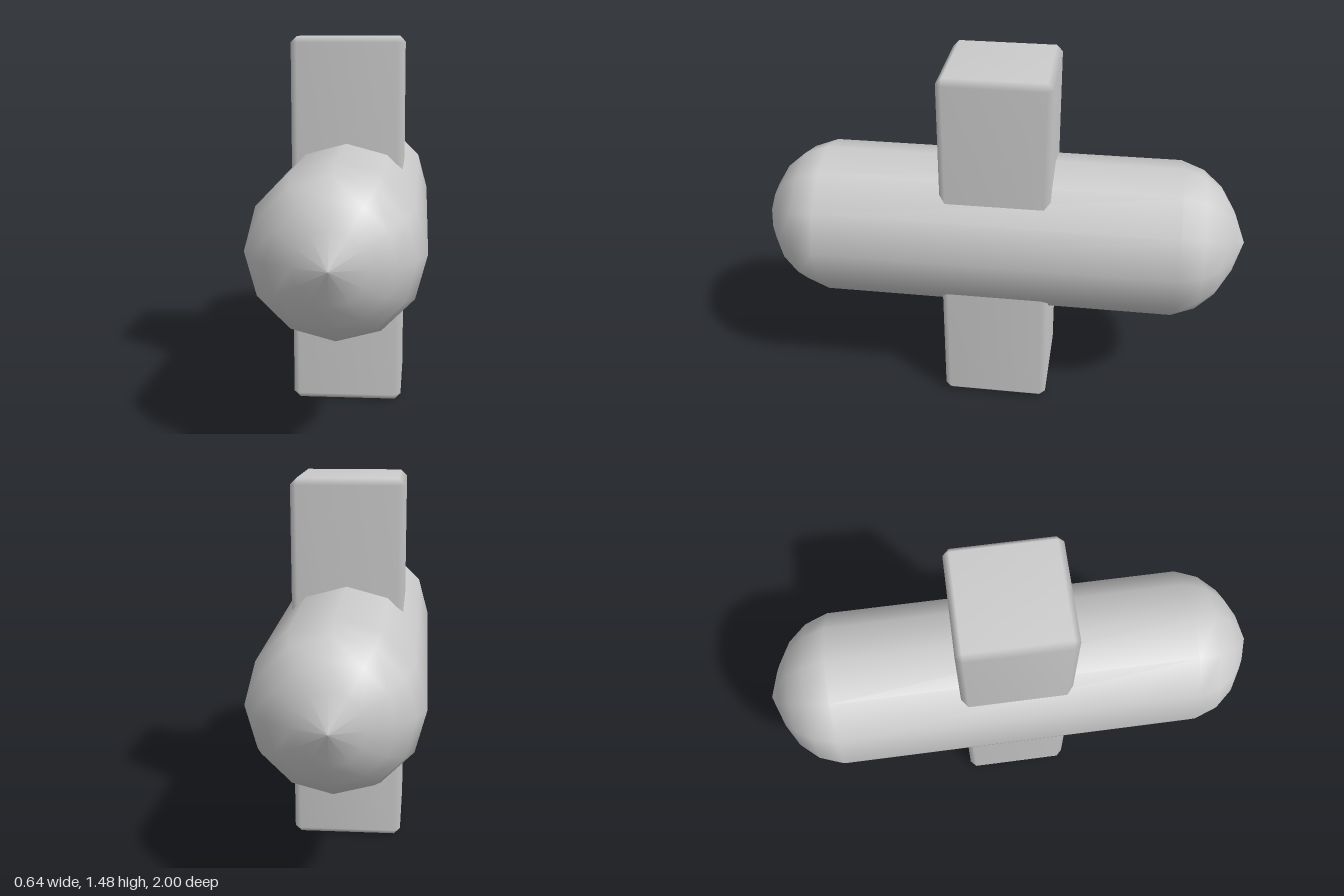
import * as THREE from 'three';
import { ConvexGeometry } from 'three/addons/geometries/ConvexGeometry.js';
import { mergeVertices } from 'three/addons/utils/BufferGeometryUtils.js';

const BODY_Y = 0.74;

// Box with a single chamfer on every edge and smooth normals
function chamferedBox(w, h, d, c) {
  const points = [];
  for (const sx of [-1, 1]) for (const sy of [-1, 1]) for (const sz of [-1, 1]) {
    for (let axis = 0; axis < 3; axis++) {
      const inset = [c, c, c];
      inset[axis] = 0;
      points.push(new THREE.Vector3(
        sx * (w / 2 - inset[0]), sy * (h / 2 - inset[1]), sz * (d / 2 - inset[2])));
    }
  }
  const geometry = new ConvexGeometry(points);
  geometry.deleteAttribute('normal');
  const merged = mergeVertices(geometry);
  merged.computeVertexNormals();
  return merged;
}

export function createModel() {
  const model = new THREE.Group();
  const material = new THREE.MeshStandardMaterial({ color: 0xcccccc });
  const add = (name, geometry, y) => {
    const mesh = new THREE.Mesh(geometry, material);
    mesh.name = name;
    mesh.position.y = y;
    model.add(mesh);
  };

  // Twelve-sided horizontal capsule with slightly pointed ends
  const cap = [[0.32, 0.725], [0.285, 0.82], [0.22, 0.895], [0.13, 0.95], [0, 1]];
  const profile = [
    ...cap.map(([r, z]) => new THREE.Vector2(r, -z)).reverse(),
    ...cap.map(([r, z]) => new THREE.Vector2(r, z)),
  ];
  add('capsuleBody', new THREE.LatheGeometry(profile, 12).rotateX(Math.PI / 2), BODY_Y);

  // Square upright post passing through the capsule
  add('verticalPost', chamferedBox(0.44, 1.475, 0.44, 0.025), 1.475 / 2);

  return model;
}
